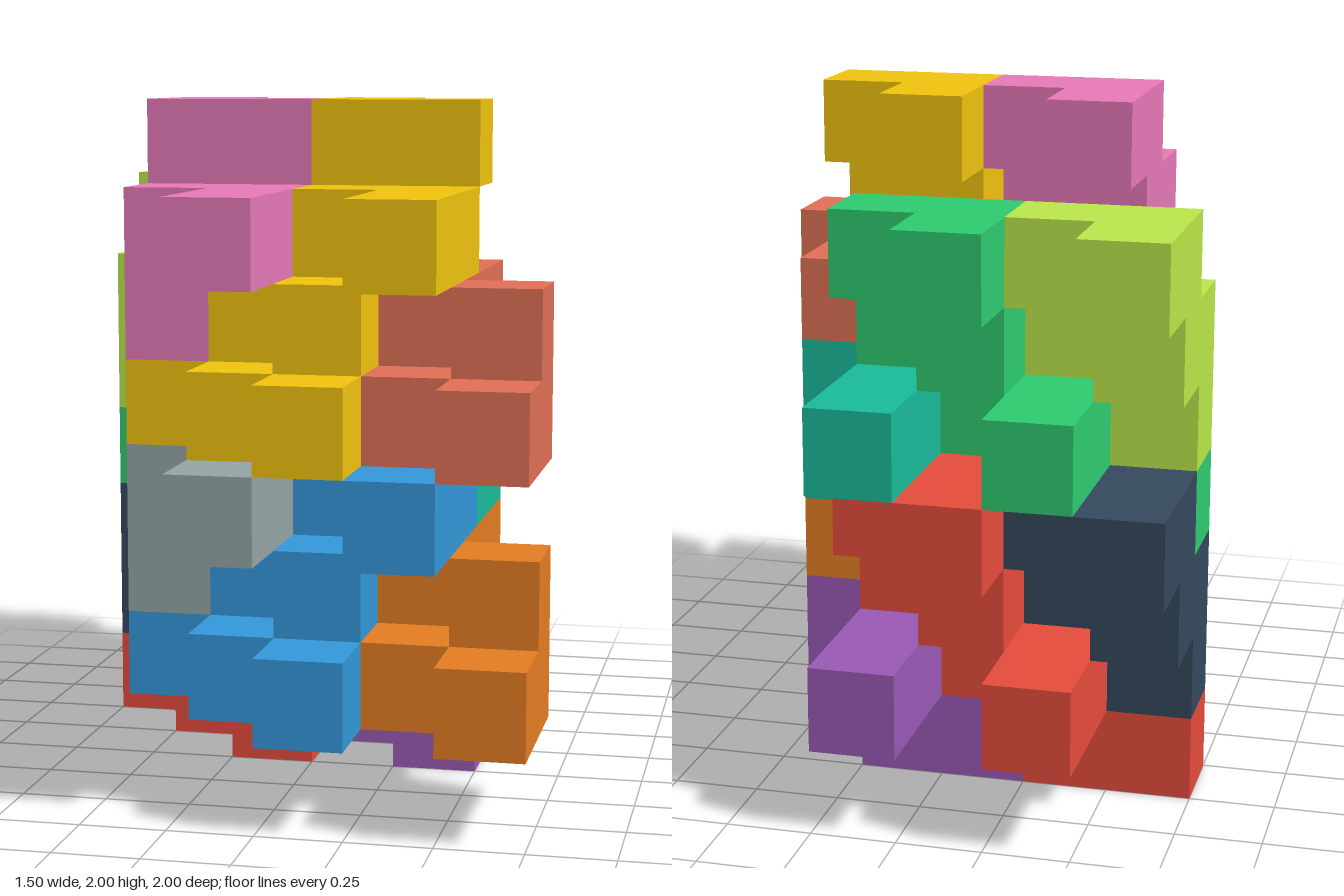
import * as THREE from 'three';
import { mergeGeometries } from 'three/addons/utils/BufferGeometryUtils.js';

const CELL = 0.25;
const X = [1, 0, 0], Y = [0, 1, 0], Z = [0, 0, 1], BACK = [0, 0, -1];

// The six sides of a cube, as outward directions
const SIDES = [X, [-1, 0, 0], Y, [0, -1, 0], Z, BACK];

// One nine-cube puzzle piece, each cube given as steps along the axes u, p and l
const PIECE = [
  [0, 0, 0], [0, 1, 0], [-1, 1, 0], [-2, 1, 0],
  [1, 0, 0], [1, 0, 1], [2, 0, 1], [1, 1, 1], [0, 0, -1],
];

// Two ways the piece is turned
const UPRIGHT = { u: Z, p: Y, l: X };
const TURNED = { u: BACK, p: X, l: Y };

const COLORS = {
  salmon: 0xe17055, yellow: 0xf1c40f, teal: 0x1abc9c, green: 0x2ecc71,
  orange: 0xe67e22, blue: 0x3498db, violet: 0x9b59b6, red: 0xe74c3c,
  pink: 0xe879b9, lime: 0xbbe84a, gray: 0x95a5a6, navy: 0x34495e,
};

// Grid cell where each piece starts; the lower set repeats the upper one three cells down
const PIECES = [
  ['salmon', UPRIGHT, [4, 4, 5]], ['yellow', UPRIGHT, [2, 4, 5]],
  ['teal', UPRIGHT, [3, 3, 2]], ['green', UPRIGHT, [1, 3, 2]],
  ['yellow', TURNED, [3, 6, 5]], ['pink', TURNED, [1, 6, 5]],
  ['green', TURNED, [2, 5, 2]], ['lime', TURNED, [0, 5, 2]],
];
const LOWER_COLOR = {
  salmon: 'orange', yellow: 'blue', teal: 'violet', green: 'red', pink: 'gray', lime: 'navy',
};

function pieceCells(turn, start) {
  return PIECE.map(([a, b, c]) =>
    start.map((s, n) => s + a * turn.u[n] + b * turn.p[n] + c * turn.l[n]));
}

// Outer skin of a set of cells, leaving out sides shared by two cubes
function cellGeometry(cells) {
  const filled = new Set(cells.map(String));
  const faces = [];
  for (const cell of cells) {
    for (const side of SIDES) {
      if (filled.has(String(cell.map((v, n) => v + side[n])))) continue;
      const normal = new THREE.Vector3(...side);
      const turn = new THREE.Quaternion().setFromUnitVectors(new THREE.Vector3(0, 0, 1), normal);
      const face = new THREE.PlaneGeometry(CELL, CELL).applyQuaternion(turn);
      // Grid is 6 x 8 x 8 cells, centred on x and z
      const [i, j, k] = cell;
      face.translate(
        (i - 2.5 + side[0] / 2) * CELL,
        (j + 0.5 + side[1] / 2) * CELL,
        (k - 3.5 + side[2] / 2) * CELL,
      );
      faces.push(face);
    }
  }
  return mergeGeometries(faces);
}

export function createModel() {
  const model = new THREE.Group();
  model.name = 'interlockingCubePuzzle';

  const addPiece = (color, turn, start) => {
    const material = new THREE.MeshStandardMaterial({ color: COLORS[color] });
    const mesh = new THREE.Mesh(cellGeometry(pieceCells(turn, start)), material);
    mesh.name = `${color}${turn === UPRIGHT ? 'Upright' : 'Turned'}Piece`;
    model.add(mesh);
  };

  for (const [color, turn, [i, j, k]] of PIECES) {
    addPiece(color, turn, [i, j, k]);
    addPiece(LOWER_COLOR[color], turn, [i, j - 3, k]);
  }
  return model;
}
